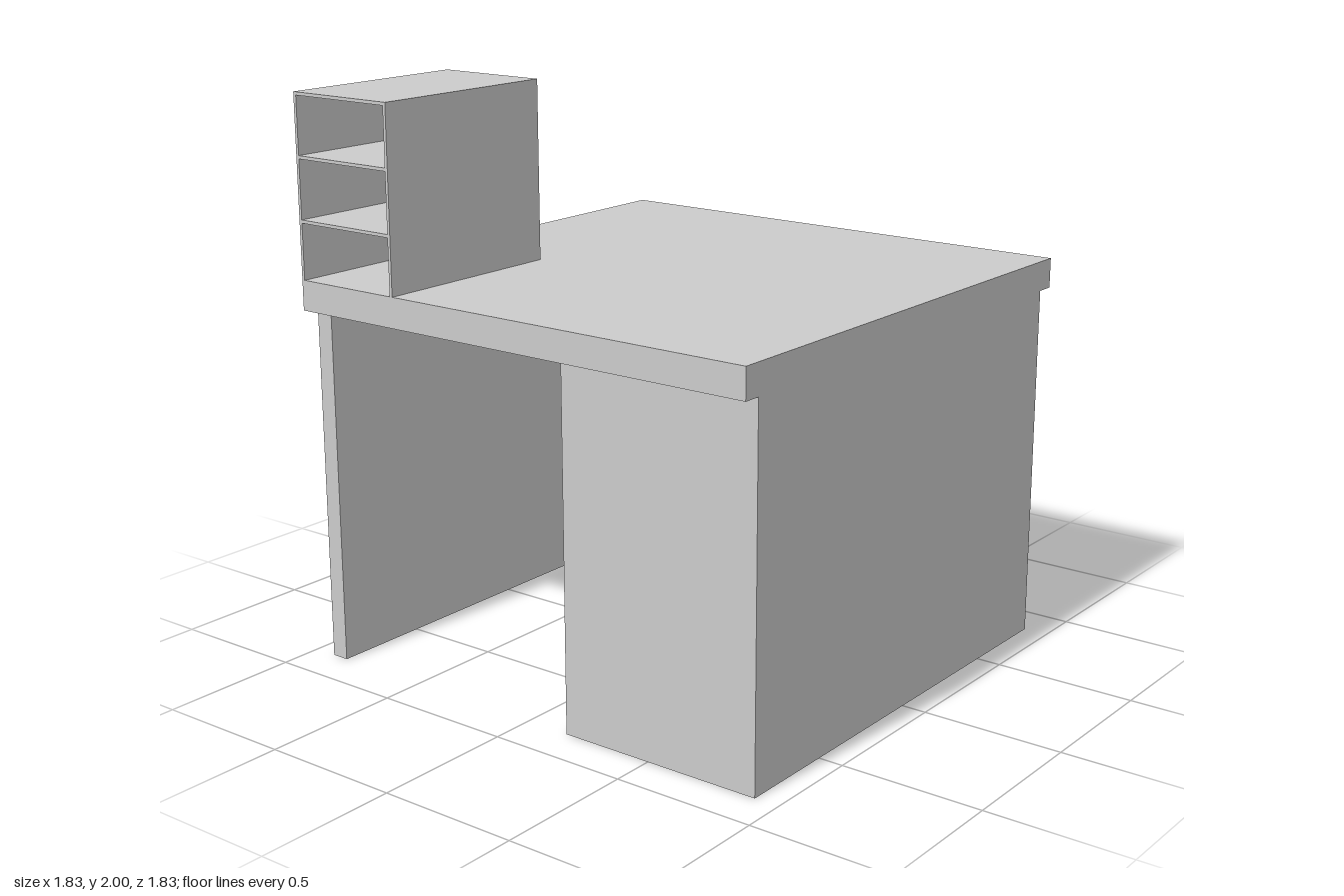
import * as THREE from 'three';

const material = new THREE.MeshStandardMaterial({ color: 0xcccccc });

// Box given by its lower and upper limits on each axis
function block(name, [x0, x1], [y0, y1], [z0, z1]) {
  const mesh = new THREE.Mesh(new THREE.BoxGeometry(x1 - x0, y1 - y0, z1 - z0), material);
  mesh.name = name;
  mesh.position.set((x0 + x1) / 2, (y0 + y1) / 2, (z0 + z1) / 2);
  return mesh;
}

export function createModel() {
  const desk = new THREE.Group();
  desk.name = 'desk';
  const half = 0.913, inner = 0.85, under = 1.265, top = 1.37;
  const legZ = [-0.845, 0.85];

  // Table top and the two full-depth side panels
  desk.add(block('tableTop', [-half, half], [under, top], [-half, half]));
  desk.add(block('rightPanel', [-half, -inner], [0, under], legZ));
  desk.add(block('leftPanel', [inner, half], [0, under], legZ));

  // Drawer cabinet, set back from the rear edge of its side panel
  const cabinet = new THREE.Group();
  cabinet.name = 'drawerCabinet';
  const cabX = [0.165, inner], faceZ = -0.66;
  cabinet.add(block('cabinetBody', cabX, [0, under], [faceZ + 0.02, 0.85]));
  cabinet.add(block('drawerFront', cabX, [0.03, under], [faceZ, faceZ + 0.02]));
  const midX = (cabX[0] + cabX[1]) / 2;
  for (let i = 0; i < 4; i++) {
    const y = (i + 0.5) * under / 4;
    cabinet.add(block('drawerHandle', [midX - 0.065, midX + 0.065], [y - 0.02, y + 0.02], [faceZ - 0.025, faceZ]));
  }
  desk.add(cabinet);

  // Open-ended shelf unit on the front right corner
  const shelfUnit = new THREE.Group();
  shelfUnit.name = 'shelfUnit';
  const x0 = -half, x1 = -0.493, t = 0.011, shelfZ = [0.187, half];
  shelfUnit.add(block('shelfSide', [x0, x0 + t], [top, 2], shelfZ));
  shelfUnit.add(block('shelfSide', [x1 - t, x1], [top, 2], shelfZ));
  for (const y of [1.575, 1.79, 2]) {
    shelfUnit.add(block('shelf', [x0 + t, x1 - t], [y - t, y], shelfZ));
  }
  desk.add(shelfUnit);

  return desk;
}
